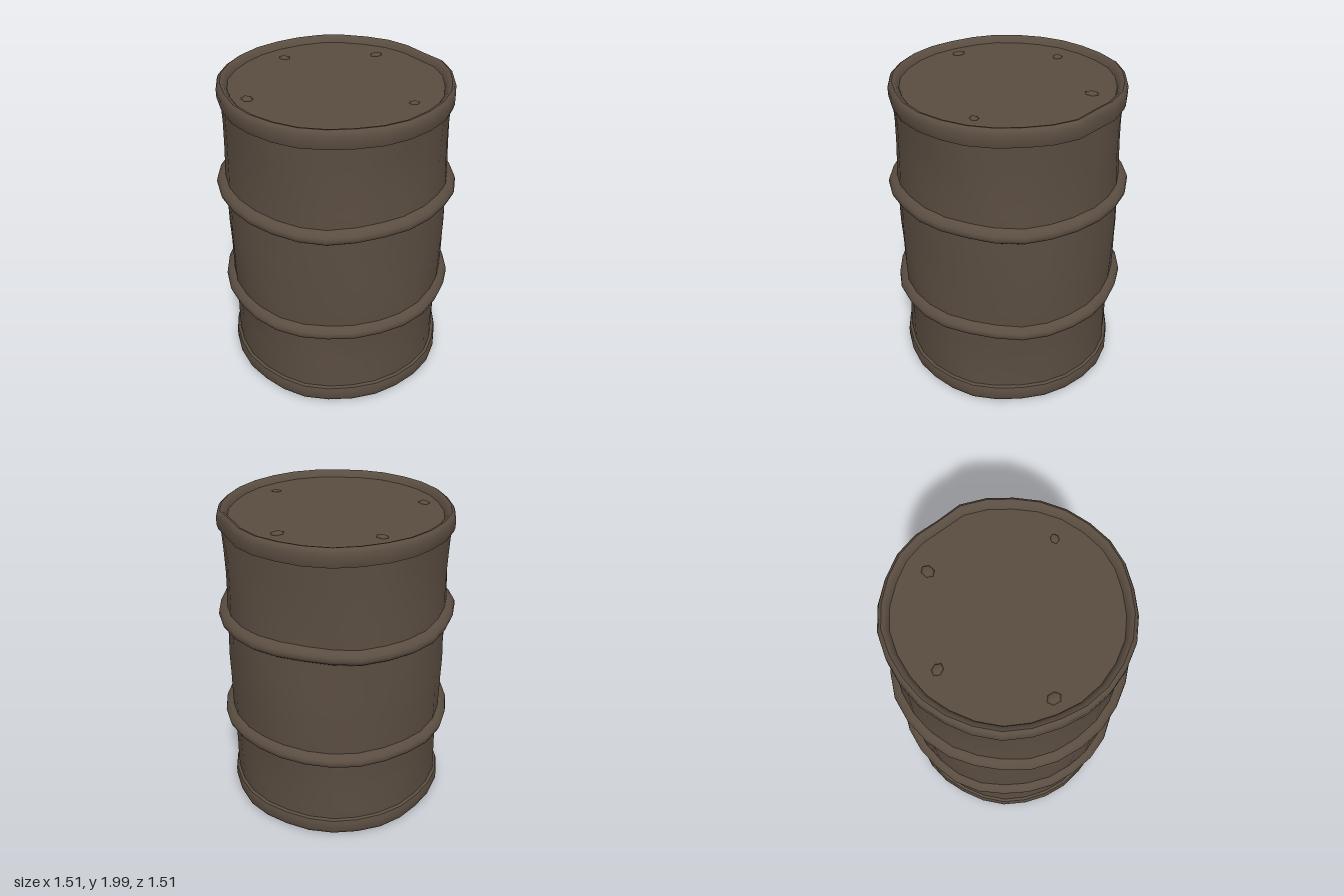
import * as THREE from 'three';
import { toCreasedNormals } from 'three/addons/utils/BufferGeometryUtils.js';

const SIDES = 28;

// Shallow knocks in the wall: x, y, z of the centre, radius, depth
const DENTS = [
  [0.28, 1.95, -0.66, 0.16, 0.03],
  [0.66, 1.66, 0.25, 0.2, 0.015],
  [-0.69, 1.65, 0.1, 0.2, 0.012],
  [0.6, 1.0, 0.38, 0.2, 0.015],
  [0.3, 0.5, 0.62, 0.15, 0.015],
  [-0.25, 0.45, 0.64, 0.15, 0.012],
  [0.68, 0.22, -0.15, 0.16, 0.015],
  [-0.4, 1.25, -0.58, 0.18, 0.015],
];

// Uneven, hand-beaten metal; hoops also wander up and down
function weather(geometry, sway) {
  const p = geometry.attributes.position;
  const v = new THREE.Vector3();
  for (let i = 0; i < p.count; i++) {
    v.fromBufferAttribute(p, i);
    const r = Math.hypot(v.x, v.z);
    if (r < 0.01) continue;
    const a = Math.atan2(v.x, v.z);
    let d = 0.004 * Math.sin(5 * a + 4 * v.y) + 0.003 * Math.sin(9 * a - 7 * v.y);
    for (const [x, y, z, size, depth] of DENTS) {
      const q = ((v.x - x) ** 2 + (v.y - y) ** 2 + (v.z - z) ** 2) / size ** 2;
      d -= depth * Math.exp(-2 * q);
    }
    const k = 1 + d / r;
    const lift = sway * (Math.sin(3 * a + 4.2) + 0.5 * Math.sin(7 * a + 9 * Math.round(v.y)));
    p.setXYZ(i, v.x * k, v.y + lift, v.z * k);
  }
  return toCreasedNormals(geometry, 0.75);
}

export function createModel() {
  const barrel = new THREE.Group();
  barrel.name = 'barrel';
  const metal = new THREE.MeshStandardMaterial({ color: 0x5a4d41 });
  metal.name = 'rusty brown metal';

  function add(name, geometry) {
    const mesh = new THREE.Mesh(geometry, metal);
    mesh.name = name;
    barrel.add(mesh);
    return mesh;
  }
  function turned(name, profile, sway = 0) {
    const points = profile.map(([r, y]) => new THREE.Vector2(r, y));
    return add(name, weather(new THREE.LatheGeometry(points, SIDES), sway));
  }

  // Wall, slightly pinched between the hoops
  turned('wall', [
    [0.69, 0.08], [0.69, 0.2], [0.687, 0.33], [0.69, 0.46], [0.7, 0.6],
    [0.703, 0.74], [0.703, 0.88], [0.705, 1.02], [0.7, 1.16], [0.7, 1.32],
    [0.693, 1.46], [0.69, 1.6], [0.69, 1.74], [0.695, 1.92],
  ]);

  // Rolled hoops
  for (const [name, y] of [['lowerHoop', 0.6], ['upperHoop', 1.325]]) {
    turned(name, [
      [0.68, y - 0.06], [0.715, y - 0.045], [0.745, y - 0.022], [0.752, y],
      [0.748, y + 0.022], [0.725, y + 0.042], [0.68, y + 0.052],
    ], 0.008);
  }

  // Rims and recessed lids, mirrored top and bottom
  const rim = [
    [0.68, 1.87], [0.708, 1.88], [0.715, 1.905], [0.715, 1.955],
    [0.706, 1.98], [0.69, 1.99], [0.672, 1.985], [0.655, 1.965], [0.645, 1.94],
  ];
  const lid = [[0.66, 1.95], [0.4, 1.95], [0, 1.95]];
  const flip = (profile) => profile.map(([r, y]) => [r, 1.992 - y]).reverse();
  turned('topRim', rim);
  turned('bottomRim', flip(rim));
  turned('topLid', lid);
  turned('bottomLid', flip(lid));

  // Small chipped lumps on both lids
  const lumps = [[-0.48, -0.17, 0.036], [0, -0.51, 0.04], [-0.33, 0.45, 0.04], [0.52, 0.02, 0.03]];
  for (const [y, side] of [[1.95, 'top'], [0.042, 'bottom']]) {
    lumps.forEach(([x, z, r], i) => {
      const flat = new THREE.SphereGeometry(r, 6, 4);
      flat.scale(1.1, 0.25, 0.9);
      flat.rotateY(i * 1.3);
      add(side + 'LidLump' + (i + 1), flat).position.set(x, y, z);
    });
  }
  return barrel;
}
